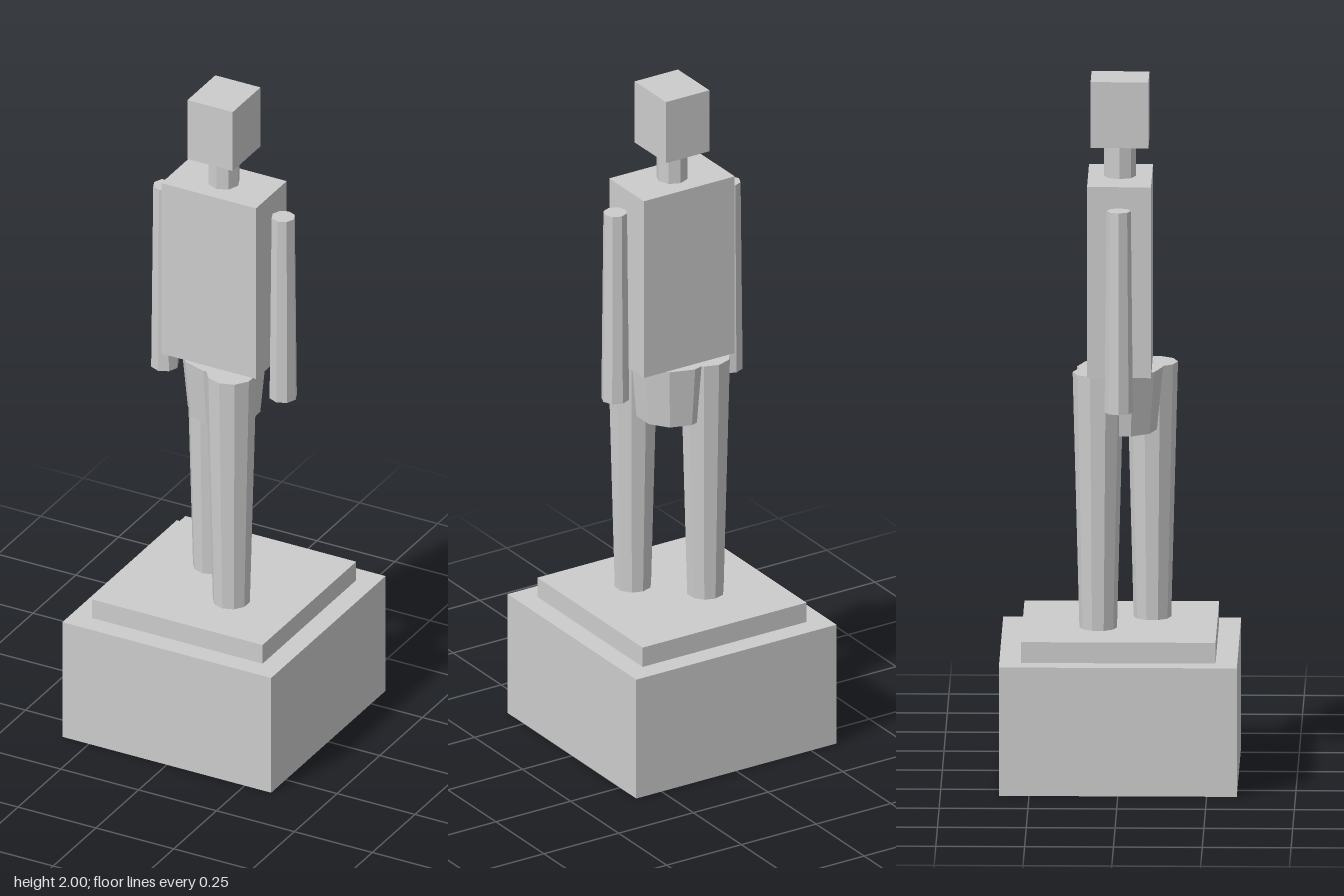
import * as THREE from 'three';

export function createModel() {
  const model = new THREE.Group();
  model.name = 'figureOnPlinth';

  const stone = new THREE.MeshStandardMaterial({ color: 0xcccccc });
  stone.name = 'light grey';
  stone.flatShading = true;

  const add = (name, geometry, x, y, z) => {
    const mesh = new THREE.Mesh(geometry, stone);
    mesh.name = name;
    mesh.position.set(x, y, z);
    model.add(mesh);
  };
  // Both helpers take the bottom and top heights of the part
  const block = (name, w, d, y0, y1) =>
    add(name, new THREE.BoxGeometry(w, y1 - y0, d), 0, (y0 + y1) / 2, 0);
  const column = (name, rTop, rBottom, sides, y0, y1, x = 0, z = 0) =>
    add(name, new THREE.CylinderGeometry(rTop, rBottom, y1 - y0, sides), x, (y0 + y1) / 2, z);

  // Stepped plinth
  block('plinth', 0.67, 0.67, 0, 0.37);
  block('plinthStep', 0.548, 0.548, 0.37, 0.43);

  // Striding legs, left one forward
  column('leftLeg', 0.072, 0.053, 10, 0.43, 1.165, 0.073, 0.09);
  column('rightLeg', 0.072, 0.053, 10, 0.43, 1.165, -0.073, -0.06);

  // Hips, torso, neck and head
  column('hips', 0.121, 0.104, 10, 0.985, 1.165);
  block('torso', 0.304, 0.18, 1.165, 1.715);
  column('neck', 0.045, 0.045, 8, 1.715, 1.81);
  block('head', 0.145, 0.163, 1.81, 2);

  // Straight arms at the sides
  for (const [name, side] of [['leftArm', 1], ['rightArm', -1]]) {
    column(name, 0.034, 0.04, 8, 1.075, 1.655, side * 0.19);
  }
  return model;
}
